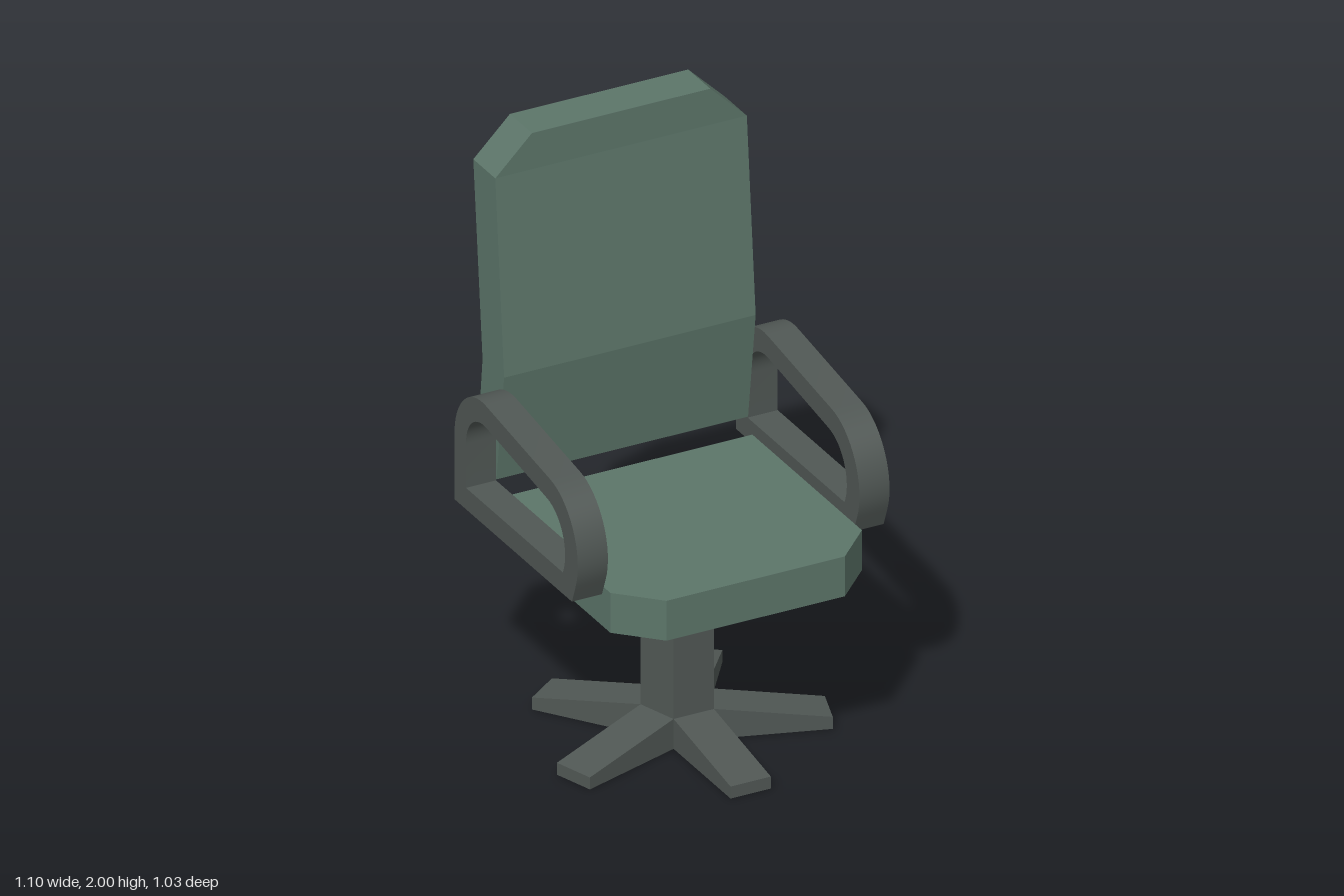
import * as THREE from 'three';
import { toCreasedNormals } from 'three/addons/utils/BufferGeometryUtils.js';

// Skin a solid over four-cornered sections (counter-clockwise seen from the last one)
function loft(rings) {
  const pos = [];
  const quad = (a, b, c, d) => pos.push(...a, ...b, ...c, ...a, ...c, ...d);
  for (let i = 0; i < rings.length - 1; i++) {
    for (let k = 0; k < 4; k++) {
      const n = (k + 1) % 4;
      quad(rings[i][k], rings[i][n], rings[i + 1][n], rings[i + 1][k]);
    }
  }
  const end = rings[rings.length - 1];
  quad(rings[0][3], rings[0][2], rings[0][1], rings[0][0]);
  quad(end[0], end[1], end[2], end[3]);
  const geometry = new THREE.BufferGeometry();
  geometry.setAttribute('position', new THREE.Float32BufferAttribute(pos, 3));
  geometry.computeVertexNormals();
  return geometry;
}

// Section for solids that run along z: half width, bottom y and z, top y and z
const sectionZ = (w, y0, z0, y1, z1) => [[-w, y0, z0], [w, y0, z0], [w, y1, z1], [-w, y1, z1]];

// Section for solids that run along y: height, half width, front z, back z
const sectionY = (y, w, zf, zb) => [[w, y, zf], [w, y, zb], [-w, y, zb], [-w, y, zf]];

export function createModel() {
  const fabric = new THREE.MeshStandardMaterial({ color: 0x5c7569 });
  fabric.name = 'greenFabric';
  const plastic = new THREE.MeshStandardMaterial({ color: 0x505754 });
  plastic.name = 'darkGreyPlastic';

  const model = new THREE.Group();
  model.name = 'officeChair';
  const add = (name, geometry, material, parent = model) => {
    const mesh = new THREE.Mesh(geometry, material);
    mesh.name = name;
    parent.add(mesh);
    return mesh;
  };

  // Seat cushion with cut front corners and a sloped rear edge
  add('seat', loft([
    sectionZ(0.443, 0.63, -0.36, 0.77, -0.335),
    sectionZ(0.443, 0.63, 0.387, 0.77, 0.387),
    sectionZ(0.314, 0.63, 0.516, 0.77, 0.516),
  ]), fabric);

  // Backrest, bent at the lumbar, with cut top corners
  add('backrest', loft([
    sectionY(0.82, 0.443, -0.363, -0.495),
    sectionY(1.2, 0.443, -0.313, -0.455),
    sectionY(1.873, 0.443, -0.371, -0.516),
    sectionY(2, 0.314, -0.371, -0.516),
  ]), fabric);

  // Armrest loop drawn from the side (shape x = model z)
  const outer = new THREE.Shape();
  outer.moveTo(0.332, 0.74);
  outer.lineTo(-0.442, 0.74);
  outer.lineTo(-0.442, 0.97);
  outer.bezierCurveTo(-0.442, 1.09, -0.345, 1.18, -0.235, 1.164);
  outer.lineTo(0.19, 1.103);
  outer.bezierCurveTo(0.315, 1.085, 0.41, 0.935, 0.355, 0.8);
  outer.lineTo(0.332, 0.74);
  const hole = new THREE.Path();
  hole.moveTo(0.272, 0.815);
  hole.bezierCurveTo(0.315, 0.9, 0.265, 1.01, 0.17, 1.027);
  hole.lineTo(-0.225, 1.087);
  hole.bezierCurveTo(-0.3, 1.1, -0.366, 1.05, -0.366, 0.97);
  hole.lineTo(-0.366, 0.815);
  hole.lineTo(0.272, 0.815);
  outer.holes.push(hole);
  const arm = toCreasedNormals(
    new THREE.ExtrudeGeometry(outer, { depth: 0.106, bevelEnabled: false, curveSegments: 16 })
      .rotateY(-Math.PI / 2), 0.4);
  add('leftArmrest', arm, plastic).position.x = 0.549;
  add('rightArmrest', arm, plastic).position.x = -0.443;

  // Five-sided column with one foot growing from each face
  const base = new THREE.Group();
  base.name = 'base';
  base.position.z = 0.01;
  model.add(base);
  const column = new THREE.CylinderGeometry(0.121, 0.121, 0.632, 5).rotateY(Math.PI)
    .translate(0, 0.316, 0);
  add('column', toCreasedNormals(column, 0.3), plastic, base);
  const foot = loft([
    sectionZ(0.071, 0, 0.097, 0.105, 0.097),
    sectionZ(0.071, 0, 0.473, 0.042, 0.473),
  ]);
  for (let i = 0; i < 5; i++) {
    add('foot' + (i + 1), foot, plastic, base).rotation.y = i * Math.PI * 2 / 5;
  }
  return model;
}
